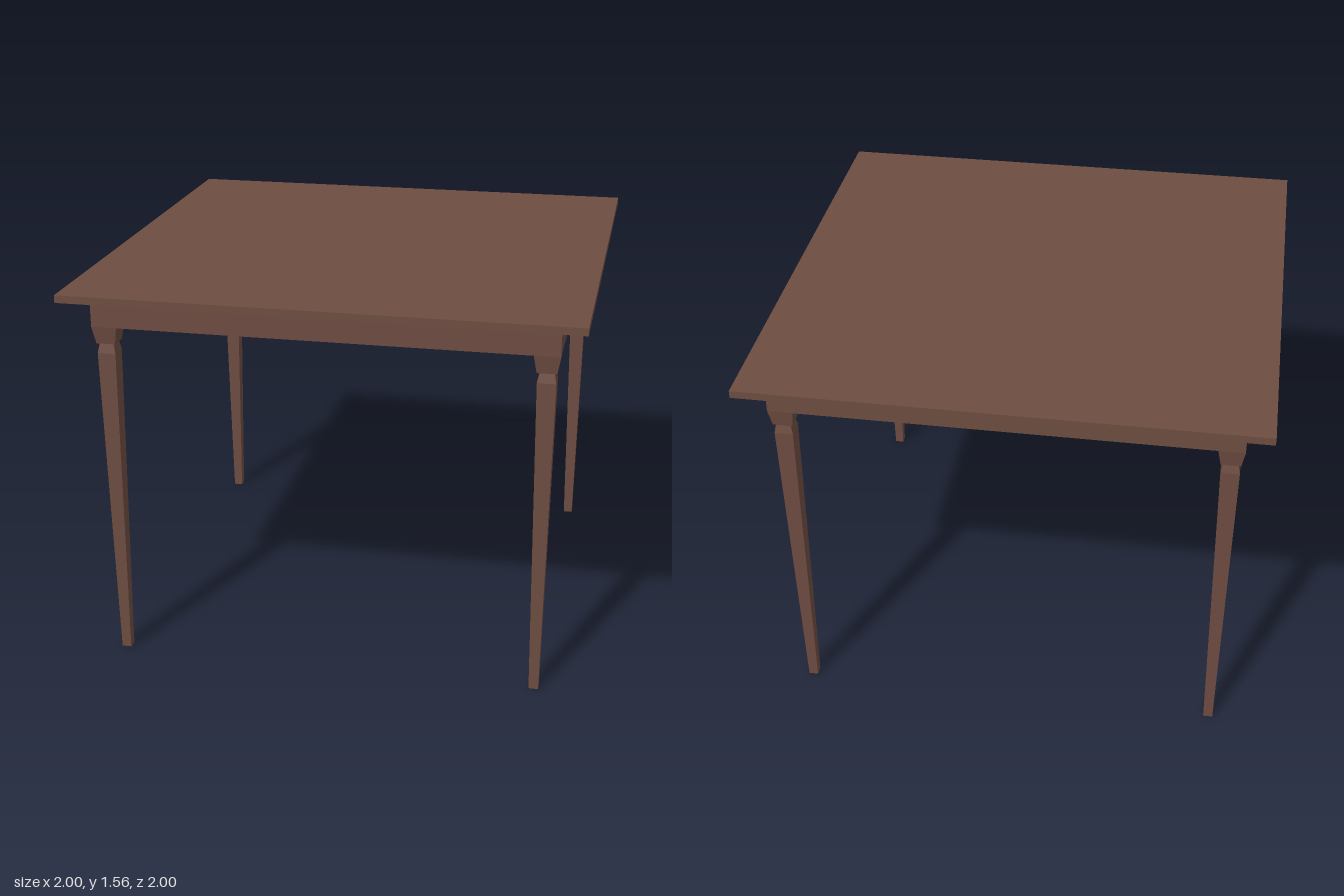
import * as THREE from 'three';

const wood = new THREE.MeshStandardMaterial({ color: 0x6d4c41, flatShading: true });

function slab(name, width, bottom, top) {
  const mesh = new THREE.Mesh(new THREE.BoxGeometry(width, top - bottom, width), wood);
  mesh.name = name;
  mesh.position.y = (bottom + top) / 2;
  return mesh;
}

// Square-section post from [half width, height] pairs, bottom to top
function squarePost(name, profile) {
  const points = profile.map(([half, y]) => new THREE.Vector2(half * Math.SQRT2, y));
  const geometry = new THREE.LatheGeometry(points, 4).rotateY(Math.PI / 4);
  const mesh = new THREE.Mesh(geometry, wood);
  mesh.name = name;
  return mesh;
}

export function createModel() {
  const table = new THREE.Group();
  table.name = 'table';

  table.add(slab('tabletop', 2, 1.53, 1.56));
  table.add(slab('apron', 1.8, 1.41, 1.53));

  // One leg at each corner: tapered shaft with a pinched neck under a flared block
  for (const [end, z] of [['front', 0.85], ['back', -0.85]]) {
    for (const [side, x] of [['Left', 0.85], ['Right', -0.85]]) {
      const leg = new THREE.Group();
      leg.name = `${end}${side}Leg`;
      leg.add(squarePost('shaft', [[0, 0], [0.019, 0], [0.036, 1.3], [0.028, 1.34]]));
      leg.add(squarePost('cornerBlock', [[0, 1.34], [0.038, 1.34], [0.05, 1.41]]));
      leg.position.set(x, 0, z);
      table.add(leg);
    }
  }
  return table;
}
